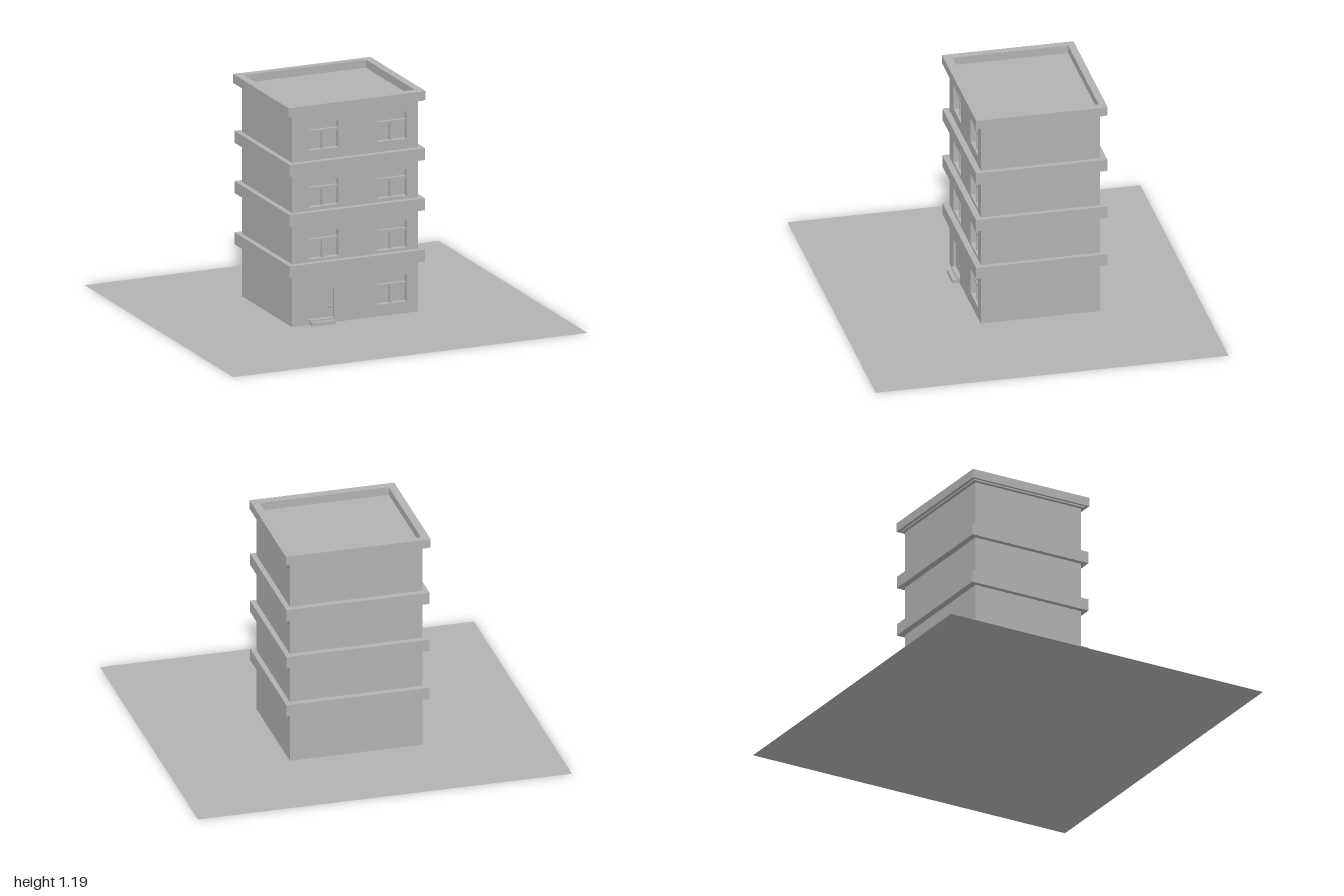
import * as THREE from 'three';

export function createModel() {
  const model = new THREE.Group();
  model.name = 'apartmentBlock';
  const plaster = new THREE.MeshStandardMaterial({ color: 0xb2b2b2, side: THREE.DoubleSide });
  plaster.name = 'light grey';

  const add = (name, geometry, parent = model) => {
    const mesh = new THREE.Mesh(geometry, plaster);
    mesh.name = name;
    parent.add(mesh);
    return mesh;
  };
  // Box given by its minimum and maximum on each axis
  const box = (name, [x0, x1], [y0, y1], [z0, z1], parent) => {
    const mesh = add(name, new THREE.BoxGeometry(x1 - x0, y1 - y0, z1 - z0), parent);
    mesh.position.set((x0 + x1) / 2, (y0 + y1) / 2, (z0 + z1) / 2);
    return mesh;
  };
  const rect = (Type, x0, x1, y0, y1) => new Type([
    new THREE.Vector2(x0, y0), new THREE.Vector2(x1, y0),
    new THREE.Vector2(x1, y1), new THREE.Vector2(x0, y1),
  ]);

  const wallX = [-0.35, 0.36], base = 0.004, top = 1.142;
  const front = 0.228, recess = 0.198, back = -0.402;

  // Ground sheet
  add('ground', new THREE.PlaneGeometry(2, 1.866).rotateX(-Math.PI / 2));

  // Building body, whose front face is the back of the window recesses
  box('body', wallX, [base, top], [back, recess]);

  // Front wall with openings for the windows and door
  const windowColumns = [[-0.254, -0.088], [0.131, 0.297]];
  const windowRows = [[0.067, 0.211], [0.356, 0.5], [0.634, 0.778], [0.939, 1.083]];
  const door = { x: [-0.254, -0.115], y: [0.027, 0.187] };
  const wall = rect(THREE.Shape, ...wallX, base, top);
  wall.holes.push(rect(THREE.Path, ...door.x, ...door.y));

  // Windows: a transom across and a mullion below it
  windowRows.forEach(([y0, y1], floor) => {
    windowColumns.forEach(([x0, x1], column) => {
      if (floor === 0 && column === 0) return;
      wall.holes.push(rect(THREE.Path, x0, x1, y0, y1));
      const frame = new THREE.Group();
      frame.name = 'window';
      model.add(frame);
      const middle = (x0 + x1) / 2, barZ = [recess, front - 0.012];
      box('transom', [x0, x1], [y1 - 0.053, y1 - 0.041], barZ, frame);
      box('mullion', [middle - 0.006, middle + 0.006], [y0, y1 - 0.053], barZ, frame);
    });
  });
  const frontWall = new THREE.ExtrudeGeometry(wall, { depth: front - recess, bevelEnabled: false });
  add('frontWall', frontWall).position.z = recess;

  // Door, knob and two steps
  box('door', door.x, door.y, [recess, front - 0.012]);
  add('doorKnob', new THREE.SphereGeometry(0.007, 12, 8)).position.set(-0.134, 0.09, front - 0.008);
  box('upperStep', [-0.251, -0.119], [base, 0.032], [recess, 0.241]);
  box('lowerStep', [-0.251, -0.119], [base, 0.023], [front, 0.265]);

  // Bands between the floors
  for (const y of [[0.277, 0.341], [0.552, 0.616], [0.821, 0.885]]) {
    box('floorBand', [-0.378, 0.387], y, [-0.436, 0.259]);
  }

  // Roof slab with a raised parapet around it
  box('roofSoffit', [-0.37, 0.378], [1.135, 1.147], [-0.42, 0.243]);
  const parapet = rect(THREE.Shape, -0.384, 0.39, -0.259, 0.436);
  parapet.holes.push(rect(THREE.Path, -0.342, 0.348, -0.213, 0.398));
  const rim = new THREE.ExtrudeGeometry(parapet, { depth: 0.048, bevelEnabled: false });
  add('parapet', rim.rotateX(-Math.PI / 2)).position.y = 1.142;

  return model;
}
